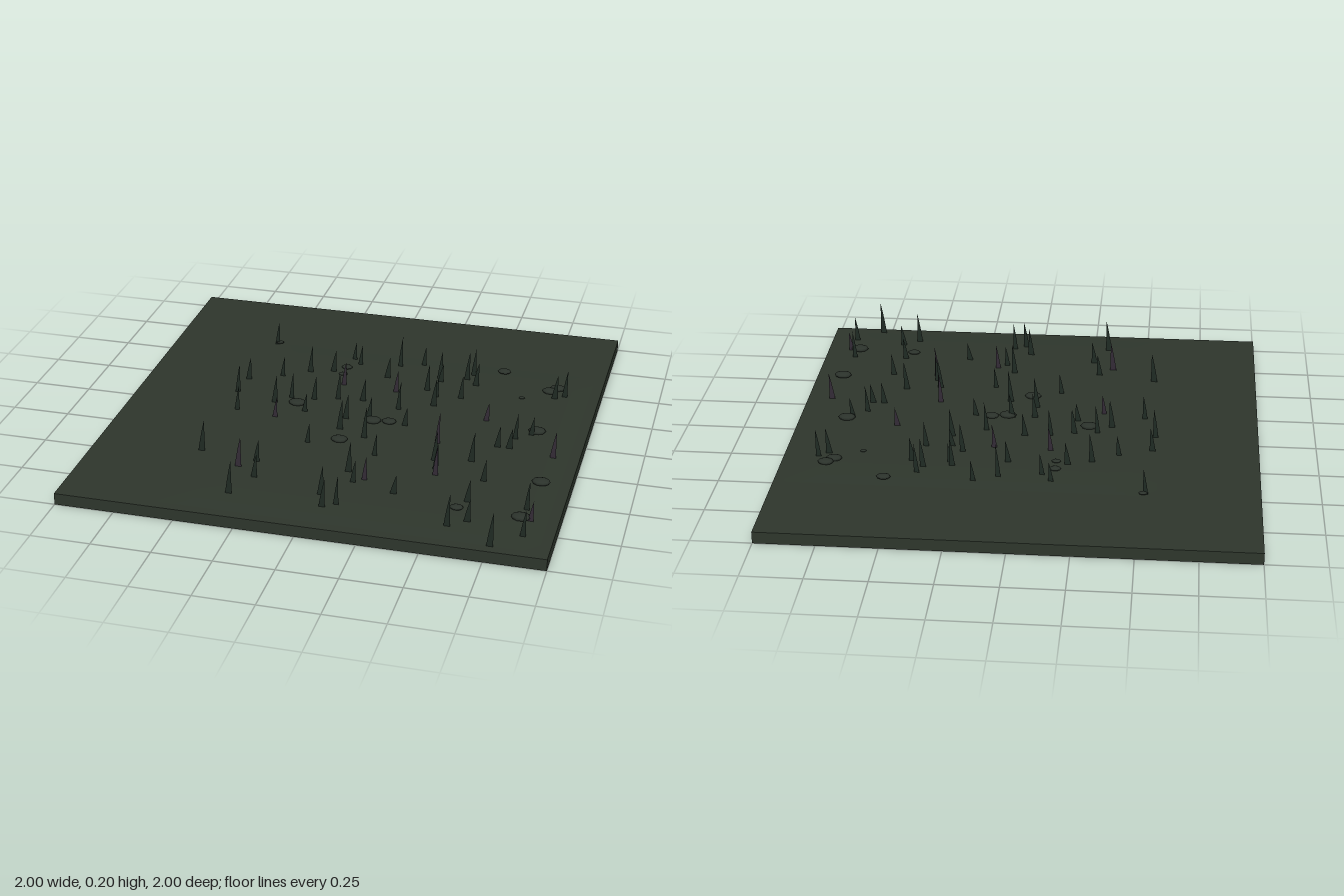
import * as THREE from 'three';

const mat = (name, color, extra = {}) =>
  Object.assign(new THREE.MeshStandardMaterial({ color, ...extra }), { name });
const soil = mat('mossy ground', 0x2e362c);
const stone = mat('dark stone', 0x2b322b);
const green = mat('dark green grass', 0x1f2a23, { side: THREE.DoubleSide });
const purple = mat('dull purple grass', 0x332b36, { side: THREE.DoubleSide });

// Small repeatable number source
function seeded(seed) {
  return () => (seed = (seed * 16807) % 2147483647) / 2147483647;
}

// x, z of every grass blade
const BLADES = [
  -.53, -.565, -.54, .51, -.32, .83, -.35, .61, -.26, .68, -.29, .55, -.51, .12, -.56, -.05,
  -.55, -.18, -.37, .02, -.33, .15, -.41, -.24, .07, .84, .04, .75, .12, .81, .14, .62,
  .10, .54, .18, .59, .32, .67, .09, .24, .17, .38, .58, .86, .77, .96, .65, .81,
  .45, .48, .44, .43, .62, .66, .42, .36, .57, .33, .88, .86, .86, .66, .89, .74,
  .65, .48, .31, -.12, .30, -.21, .25, -.26, .41, -.22, .29, -.36, .56, -.04, .71, .09,
  .70, .18, .65, .18, .40, -.41, .42, -.46, .45, -.36, .89, .21, .77, .04, .85, -.35,
  .81, -.32, -.14, -.49, -.10, -.44, -.20, -.34, -.12, -.22, 0, -.09, .07, .08, -.11, -.08,
  -.03, .09, -.21, -.05, -.30, -.31, .12, -.21, .05, -.34, .08, -.47, .18, -.51, .28, -.39,
  .23, .09, .17, -.05, .40, .21, -.03, .19, -.22, .07, -.31, -.04, -.13, .34,
];

// x, z and half width of every stone
const STONES = [
  [-.52, -.57, .018], [-.15, -.39, .025], [-.15, -.32, .02], [.55, -.52, .03],
  [.81, -.41, .034], [.78, -.375, .034], [.67, -.29, .014], [.79, .01, .038],
  [-.27, .01, .038], [.09, .09, .038], [.16, .08, .032], [-.005, .29, .037],
  [.88, .44, .039], [.59, .72, .028], [.85, .735, .04],
];

// Low swell over the planted area, fading out at its edges
function swellGeometry() {
  const g = new THREE.PlaneGeometry(1.58, 1.58, 20, 20).rotateX(-Math.PI / 2);
  const p = g.attributes.position;
  for (let i = 0; i < p.count; i++) {
    const edge = 0.79 - Math.max(Math.abs(p.getX(i)), Math.abs(p.getZ(i)));
    p.setY(i, 0.049 + 0.007 * THREE.MathUtils.smoothstep(edge, 0, 0.16));
  }
  g.computeVertexNormals();
  return g.translate(0.19, 0, 0.19);
}

// Flat tapering blade of unit height, its tip bending towards +x
function bladeGeometry() {
  const s = new THREE.Shape();
  s.moveTo(-0.013, 0);
  s.quadraticCurveTo(-0.004, 0.5, 0.012, 1);
  s.quadraticCurveTo(0.012, 0.5, 0.013, 0);
  return new THREE.ShapeGeometry(s, 5);
}

export function createModel() {
  const model = new THREE.Group();
  const add = (parent, name, geometry, material) => {
    const mesh = new THREE.Mesh(geometry, material);
    mesh.name = name;
    parent.add(mesh);
    return mesh;
  };

  // Ground
  add(model, 'groundSlab', new THREE.BoxGeometry(2, 0.05, 2).translate(0, 0.025, 0), soil);
  add(model, 'groundSwell', swellGeometry(), soil);

  // Stones
  const stones = new THREE.Group();
  stones.name = 'stones';
  const pebble = new THREE.SphereGeometry(1, 10, 6);
  for (const [x, z, r] of STONES) {
    const m = add(stones, 'stone', pebble, stone);
    m.scale.set(r, r * 0.35, r * 0.76);
    m.position.set(x, 0.054 + r * 0.3, z);
  }
  model.add(stones);

  // Grass
  const grass = new THREE.Group();
  grass.name = 'grass';
  const random = seeded(41);
  const blade = bladeGeometry();
  for (let i = 0; i < BLADES.length; i += 2) {
    const m = add(grass, 'grassBlade', blade, i % 14 === 6 ? purple : green);
    m.position.set(BLADES[i], 0.05, BLADES[i + 1]);
    m.scale.set(0.85 + 0.3 * random(), 0.09 + 0.065 * random(), 1);
  }
  model.add(grass);

  return model;
}
